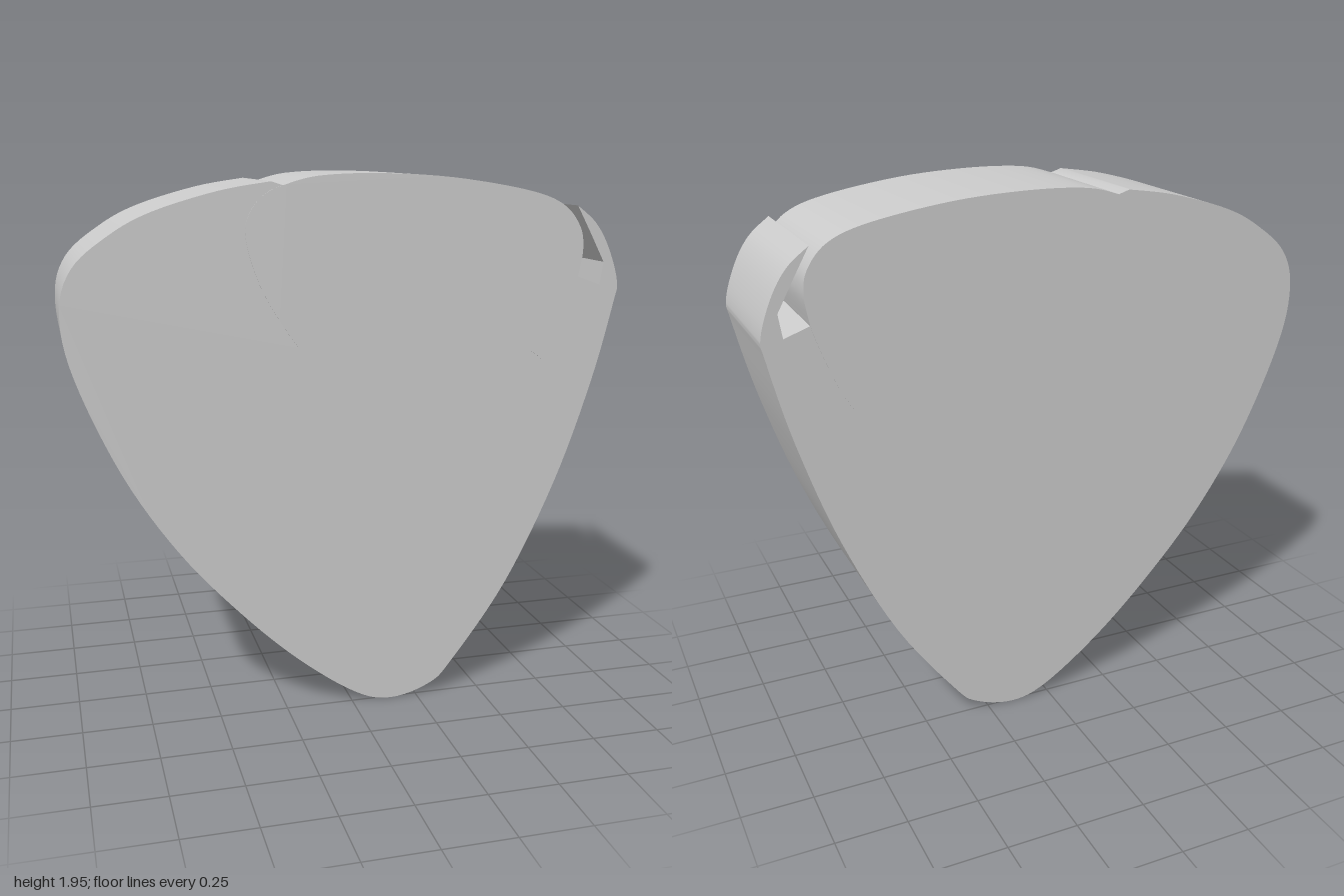
import * as THREE from 'three';
import { toCreasedNormals } from 'three/addons/utils/BufferGeometryUtils.js';

// Shared joint between body and inset, from upper left round to the right shoulder
const joint = [
  [[-0.25, 1.912], [-0.31, 1.885], [-0.36, 1.83], [-0.38, 1.75], [-0.345, 1.61], [-0.28, 1.48], [-0.2, 1.36]],
  [[-0.2, 1.36], [0.1, 1.38], [0.4, 1.37], [0.63, 1.33], [0.715, 1.28]],
  [[0.715, 1.28], [0.77, 1.38], [0.82, 1.51], [0.842, 1.58]],
];

// Outer edge of the body, from the upper left lip round the bottom to the right hook tip
const bodyEdge = [
  [-0.29, 1.925], [-0.47, 1.895], [-0.69, 1.83], [-0.83, 1.757], [-0.955, 1.65], [-1, 1.505],
  [-0.965, 1.29], [-0.82, 0.945], [-0.635, 0.65], [-0.42, 0.4], [-0.205, 0.195], [0.01, 0.04],
  [0.15, 0], [0.3, 0.04], [0.39, 0.125], [0.6, 0.425], [0.785, 0.81], [0.915, 1.185],
  [0.99, 1.48], [1, 1.56], [0.96, 1.68], [0.905, 1.77], [0.83, 1.833],
];

// Inner side of the hook and the floor of the gap
const hookInside = [[0.83, 1.833], [0.885, 1.735], [0.942, 1.63], [0.93, 1.548], [0.842, 1.58]];

// Exposed edge of the inset, from the right shoulder over the top
const insetEdge = [
  [0.842, 1.58], [0.857, 1.68], [0.84, 1.762], [0.77, 1.84], [0.63, 1.89],
  [0.35, 1.935], [0.08, 1.95], [-0.13, 1.942], [-0.25, 1.912],
];

const vec = ([x, y]) => new THREE.Vector2(x, y);
const reversed = (pts) => [...pts].reverse();
const smooth = (pts) => new THREE.SplineCurve(pts.map(vec)).getPoints((pts.length - 1) * 6);

// Centred slab with smooth curved sides and sharp rims
function slab(name, outline, depth) {
  const points = outline.filter((p, i) => p.distanceTo(outline[(i + 1) % outline.length]) > 1e-5);
  const geometry = new THREE.ExtrudeGeometry(new THREE.Shape(points), { depth, bevelEnabled: false, steps: 1 });
  geometry.translate(0, 0, -depth / 2);
  const mesh = new THREE.Mesh(
    toCreasedNormals(geometry, 0.5),
    new THREE.MeshStandardMaterial({ color: 0xcccccc }),
  );
  mesh.name = name;
  return mesh;
}

export function createModel() {
  const group = new THREE.Group();
  group.name = 'roundedTriangle';

  // Rounded triangular body with the hook and the notch
  const bodyOutline = [
    ...smooth(bodyEdge),
    ...hookInside.map(vec),
    ...reversed(joint).flatMap((run) => smooth(reversed(run))),
  ];
  group.add(slab('body', bodyOutline, 0.524));

  // Inset filling the notch, a hair thicker than the body
  const insetOutline = [...joint.flatMap(smooth), ...smooth(insetEdge)];
  group.add(slab('topInset', insetOutline, 0.53));

  return group;
}
